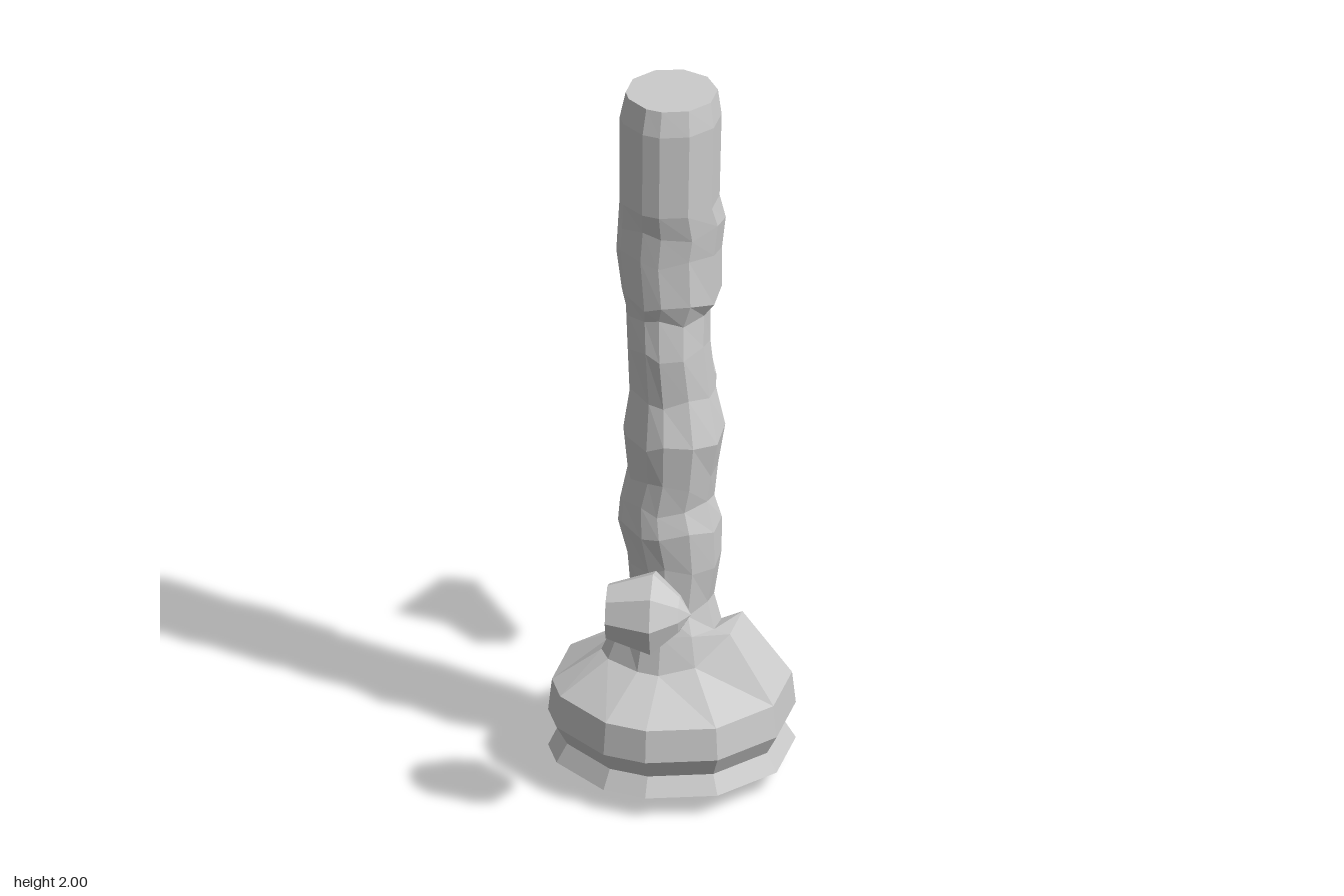
import * as THREE from 'three';

const CZ = 0.035; // axis of the upright in z
const ANGLES = [-9, 27, 63, 97, 118, 153, 171, 207, 243, 279, 315].map(THREE.MathUtils.degToRad);
const N = ANGLES.length;

function makeMesh(name, corners) {
  const geometry = new THREE.BufferGeometry();
  geometry.setAttribute('position', new THREE.Float32BufferAttribute(corners.flat(), 3));
  geometry.computeVertexNormals();
  const mesh = new THREE.Mesh(geometry, new THREE.MeshStandardMaterial({ color: 0xcccccc, flatShading: true }));
  mesh.name = name;
  return mesh;
}

// Skins a stack of rings, with optional flat ends
function loft(name, rings, capBottom, capTop) {
  const t = [];
  for (let j = 0; j < rings.length - 1; j++) {
    for (let k = 0; k < N; k++) {
      const n = (k + 1) % N;
      const a = rings[j][k], b = rings[j][n], c = rings[j + 1][n], d = rings[j + 1][k];
      t.push(a, d, c, a, c, b);
    }
  }
  const first = rings[0], last = rings[rings.length - 1];
  for (let k = 1; k < N - 1; k++) {
    if (capBottom) t.push(first[0], first[k], first[k + 1]);
    if (capTop) t.push(last[0], last[k + 1], last[k]);
  }
  return makeMesh(name, t);
}

const roundRing = (r, y) => ANGLES.map(a => [r * Math.cos(a), y, CZ + r * Math.sin(a)]);
const unevenRing = (rs, ys) => ANGLES.map((a, k) => [rs[k] * Math.cos(a), ys[k], CZ + rs[k] * Math.sin(a)]);

// Ring stretched between its left, right, back and front limits
const boundedRing = ([y, x0, x1, z0, z1], j) => ANGLES.map((a, k) => {
  const wobble = y > 1.65 ? 0 : 0.012 * Math.sin(k * 2.1 + j * 1.7);
  return [
    (x0 + x1) / 2 + (x1 - x0) / 2 * Math.cos(a) * 1.01,
    y + wobble,
    (z0 + z1) / 2 + (z1 - z0) / 2 * Math.sin(a) * 1.01,
  ];
});

// Angular bent hook: outline in (z, y, half width), with two ridge points per side
function makeHook() {
  const outline = [
    [-0.31, 1.03, 0.04, 0], [-0.515, 0.925, 0.03, 0], [-0.56, 0.885, 0.045, 0],
    [-0.365, 0.69, 0.045, 1], [-0.287, 0.72, 0.045, 1], [-0.35, 0.88, 0.045, 1],
  ];
  const ridge = [[-0.49, 0.87, 0.063], [-0.35, 0.77, 0.063]];
  const at = ([z, y, w], side) => [0.004 + side * w, y, z];
  const t = [];
  outline.forEach((p, i) => {
    const q = outline[(i + 1) % outline.length];
    const h = ridge[p[3]], g = ridge[q[3]];
    t.push(at(h, 1), at(q, 1), at(p, 1), at(h, -1), at(p, -1), at(q, -1));
    if (h !== g) t.push(at(h, 1), at(g, 1), at(q, 1), at(h, -1), at(q, -1), at(g, -1));
    t.push(at(p, 1), at(q, 1), at(q, -1), at(p, 1), at(q, -1), at(p, -1));
  });
  return makeMesh('hook', t);
}

export function createModel() {
  const group = new THREE.Group();

  // Grooved foot
  const foot = [[0.155, 0], [0.325, 0.06], [0.295, 0.11], [0.325, 0.165], [0.315, 0.255]]
    .map(([r, y]) => roundRing(r, y));

  // Sloping shoulder with a raised side and an undercut collar at the back
  const shoulder = unevenRing(
    [0.185, 0.18, 0.165, 0.165, 0.165, 0.18, 0.185, 0.16, 0.125, 0.11, 0.125],
    [0.44, 0.43, 0.36, 0.34, 0.34, 0.34, 0.34, 0.345, 0.35, 0.35, 0.37]);
  const collar = unevenRing(
    [0.13, 0.13, 0.14, 0.138, 0.138, 0.14, 0.142, 0.14, 0.142, 0.148, 0.15],
    [0.42, 0.43, 0.44, 0.44, 0.44, 0.44, 0.44, 0.43, 0.42, 0.42, 0.42]);
  const neck = boundedRing([0.5, -0.105, 0.11, -0.07, 0.15], 0);
  group.add(loft('base', [...foot, shoulder, collar, neck], true, false));

  // Gnarled column: height, then x limits and z limits
  const column = [
    [0.5, -0.105, 0.11, -0.07, 0.15], [0.62, -0.115, 0.13, -0.07, 0.155],
    [0.73, -0.14, 0.13, -0.09, 0.17], [0.80, -0.135, 0.11, -0.09, 0.16],
    [0.88, -0.115, 0.12, -0.09, 0.165], [1.0, -0.125, 0.14, -0.08, 0.18],
    [1.12, -0.11, 0.115, -0.08, 0.155], [1.26, -0.115, 0.1, -0.085, 0.165],
    [1.36, -0.12, 0.1, -0.08, 0.15], [1.41, -0.13, 0.13, -0.09, 0.165],
    [1.54, -0.145, 0.13, -0.09, 0.16], [1.62, -0.14, 0.14, -0.09, 0.16],
    [1.69, -0.135, 0.125, -0.08, 0.175], [1.93, -0.135, 0.13, -0.085, 0.175],
    [2, -0.12, 0.12, -0.08, 0.16],
  ].map(boundedRing);
  group.add(loft('column', column, false, true));

  // Faceted ball floating in front, turned about the x axis
  const profile = [[0, -0.105], [0.075, -0.105], [0.115, 0.015], [0.05, 0.085], [0, 0.115]]
    .map(([r, y]) => new THREE.Vector2(r, y));
  const ball = new THREE.Mesh(
    new THREE.LatheGeometry(profile, 8),
    new THREE.MeshStandardMaterial({ color: 0xcccccc, flatShading: true }));
  ball.name = 'ball';
  ball.rotation.z = -Math.PI / 2;
  ball.position.set(-0.025, 0.665, 0.45);
  group.add(ball);

  group.add(makeHook());
  return group;
}
